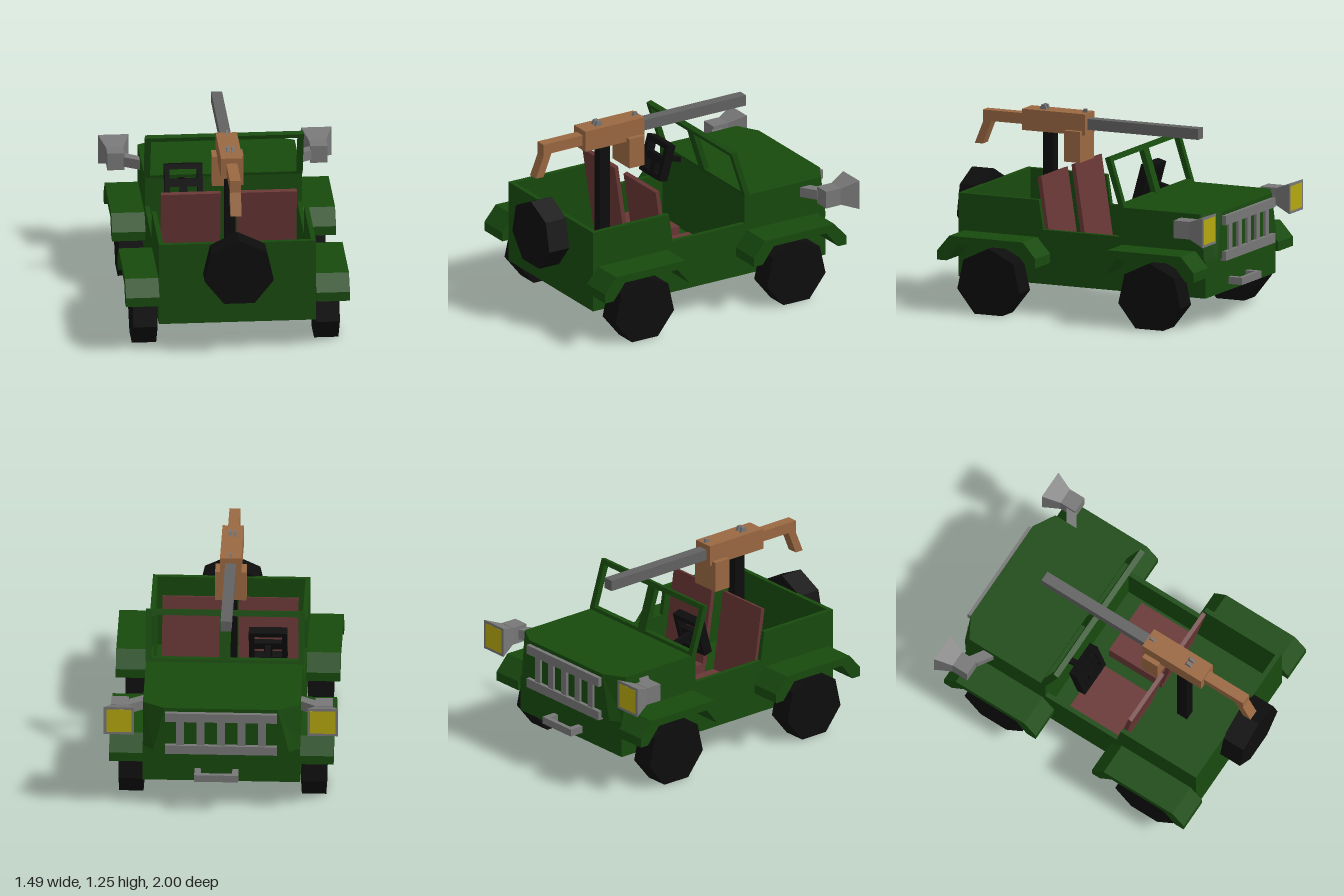
import * as THREE from 'three';

const mat = (color) => new THREE.MeshStandardMaterial({ color, flatShading: true });

export function createModel() {
  const model = new THREE.Group();
  const green = mat(0x184a0e), black = mat(0x0d0d0d), red = mat(0x683735);
  const grey = mat(0x777777), steel = mat(0x626262), tan = mat(0x9a6842), yellow = mat(0xb5a80f);

  const add = (name, geo, material, parent = model) => {
    const mesh = new THREE.Mesh(geo, material);
    mesh.name = name;
    parent.add(mesh);
    return mesh;
  };
  // Box given by its limits on each axis
  const box = (name, material, [x0, x1], [y0, y1], [z0, z1], parent) => {
    const geo = new THREE.BoxGeometry(x1 - x0, y1 - y0, z1 - z0);
    geo.translate((x0 + x1) / 2, (y0 + y1) / 2, (z0 + z1) / 2);
    return add(name, geo, material, parent);
  };
  // Side outline of [z, y] points, extruded from x0 to x1
  const side = (name, material, points, x0, x1, parent) => {
    const shape = new THREE.Shape(points.map(([z, y]) => new THREE.Vector2(z, y)));
    const geo = new THREE.ExtrudeGeometry(shape, { depth: x1 - x0, bevelEnabled: false });
    geo.rotateY(-Math.PI / 2).translate(x1, 0, 0);
    return add(name, geo, material, parent);
  };

  // Open body tub
  const sideOutline = [[0.85, 0.2], [0.85, 0.74], [0.28, 0.74], [0.25, 0.55], [-0.29, 0.55], [-0.29, 0.2]];
  side('sidePanelLeft', green, sideOutline, 0.47, 0.5);
  side('sidePanelRight', green, sideOutline, -0.5, -0.47);
  box('floor', green, [-0.47, 0.47], [0.2, 0.25], [-0.29, 0.82]);
  box('tailPanel', green, [-0.47, 0.47], [0.2, 0.74], [0.82, 0.85]);
  box('frontChassis', green, [-0.5, 0.5], [0.2, 0.44], [-0.9, -0.29]);

  // Hood: plan outline with cut corners that grow toward the top
  const plan = [[-0.5, 0.29], [0.5, 0.29], [0.5, 0.89], [0.43, 0.945], [-0.43, 0.945], [-0.5, 0.89]];
  const hood = new THREE.ExtrudeGeometry(
    new THREE.Shape(plan.map(([x, d]) => new THREE.Vector2(x, d))), { depth: 0.3, bevelEnabled: false });
  hood.rotateX(-Math.PI / 2).translate(0, 0.44, 0);
  const pos = hood.attributes.position;
  for (let i = 0; i < pos.count; i++) {
    if (pos.getY(i) < 0.7) continue;
    if (pos.getZ(i) < -0.92) pos.setX(i, Math.sign(pos.getX(i)) * 0.36);
    else if (pos.getZ(i) < -0.8) pos.setZ(i, -0.865);
  }
  hood.computeVertexNormals();
  add('hood', hood, green);

  // Fenders over the four wheels
  const arch = [[-0.345, 0.34], [-0.345, 0.4], [-0.255, 0.5], [0.265, 0.5], [0.35, 0.4], [0.35, 0.34],
    [0.285, 0.34], [0.2, 0.45], [-0.195, 0.45], [-0.285, 0.34]];
  for (const z of [0.545, -0.575]) {
    const outline = arch.map(([dz, y]) => [z + dz, y]);
    side('fenderLeft', green, outline, 0.5, 0.713);
    side('fenderRight', green, outline, -0.713, -0.5);
  }

  // Seven-sided wheels with a flat at the bottom, and the spare
  const wheelGeo = new THREE.CylinderGeometry(0.225, 0.225, 0.155, 7);
  wheelGeo.rotateY(Math.PI).rotateX(Math.PI / 2);
  const wheel = (name, x, y, z, turn) => {
    const w = add(name, wheelGeo, black);
    w.position.set(x, y, z);
    w.rotation.y = turn;
    // Vertex points up whichever way the cylinder began
    w.geometry.computeBoundingBox();
    if (-w.geometry.boundingBox.min.y > w.geometry.boundingBox.max.y) w.geometry.rotateZ(Math.PI);
  };
  for (const x of [-0.58, 0.58]) {
    wheel('rearWheel', x, 0.203, 0.56, Math.PI / 2);
    wheel('frontWheel', x, 0.203, -0.58, Math.PI / 2);
  }
  wheel('spareWheel', 0, 0.588, 0.922, 0);

  // Leaning windshield frame
  const post = [[-0.29, 0.74], [-0.325, 0.74], [-0.225, 1.06], [-0.19, 1.05]];
  for (const [x0, x1] of [[-0.505, -0.467], [-0.035, 0.035], [0.467, 0.505]])
    side('windshieldPost', green, post, x0, x1);
  side('windshieldTopBar', green, [[-0.199, 1.022], [-0.236, 1.03], [-0.225, 1.06], [-0.19, 1.05]], -0.467, 0.467);
  side('windshieldBottomBar', green, [[-0.284, 0.76], [-0.319, 0.76], [-0.325, 0.74], [-0.29, 0.74]], -0.467, 0.467);

  // Seats with thin leaning backs
  for (const [x0, x1] of [[-0.445, -0.065], [0.04, 0.42]]) {
    box('seatCushion', red, [x0, x1], [0.25, 0.36], [-0.16, 0.24]);
    side('seatBack', red, [[0.22, 0.34], [0.25, 0.34], [0.328, 0.87], [0.302, 0.878]], x0, x1);
  }

  // Steering wheel and column
  const steering = new THREE.Group();
  steering.name = 'steeringWheel';
  steering.position.set(-0.268, 0.772, -0.122);
  steering.rotation.x = -0.27;
  model.add(steering);
  for (const s of [-1, 1]) {
    const rim = [s * 0.105 - 0.017, s * 0.105 + 0.017];
    box('rimSide', black, rim, [-0.12, 0.12], [-0.03, 0.03], steering);
    box('rimBar', black, [-0.09, 0.09], rim, [-0.03, 0.03], steering);
  }
  box('spokeAcross', black, [-0.09, 0.09], [-0.025, 0.025], [-0.02, 0.02], steering);
  box('spokeDown', black, [-0.025, 0.025], [-0.09, -0.025], [-0.02, 0.02], steering);
  side('steeringColumn', black, [[-0.12, 0.75], [-0.12, 0.785], [-0.31, 0.737], [-0.31, 0.705]], -0.285, -0.25);

  // Headlights: rear box, flared housing, lens and bracket
  for (const s of [-1, 1]) {
    const lamp = new THREE.Group();
    lamp.name = s > 0 ? 'headlightLeft' : 'headlightRight';
    lamp.position.set(s * 0.647, 0.672, s > 0 ? 0 : 0.025);
    model.add(lamp);
    box('lampBox', grey, [-0.055, 0.055], [-0.057, 0.057], [-0.885, -0.775], lamp);
    const flare = new THREE.CylinderGeometry(0.055 * Math.SQRT2, 0.097 * Math.SQRT2, 0.115, 4, 1);
    flare.rotateY(Math.PI / 4).rotateX(Math.PI / 2).translate(0, 0, -0.9425);
    add('lampFlare', flare, grey, lamp);
    box('lens', yellow, [-0.08, 0.08], [-0.08, 0.08], [-1.001, -0.99], lamp);
    const arm = new THREE.ExtrudeGeometry(
      new THREE.Shape([[0.49, 0.70], [0.6, 0.77], [0.6, 0.845], [0.49, 0.775]].map(([x, d]) => new THREE.Vector2(s * x, d))),
      { depth: 0.065, bevelEnabled: false });
    arm.rotateX(-Math.PI / 2).translate(0, 0.64, lamp.position.z);
    add('lampBracket', arm, grey);
  }

  // Grille and small front bumper handle
  for (const y of [0.425, 0.655]) box('grilleBar', grey, [-0.355, 0.355], [y, y + 0.06], [-0.972, -0.935]);
  for (let i = -2; i <= 2; i++)
    box('grilleSlat', grey, [i * 0.13 - 0.025, i * 0.13 + 0.025], [0.48, 0.66], [-0.962, -0.935]);
  box('bumperBar', grey, [-0.11, 0.17], [0.24, 0.287], [-0.995, -0.965]);
  for (const x of [-0.11, 0.13]) box('bumperPost', grey, [x, x + 0.04], [0.24, 0.287], [-0.966, -0.89]);

  // Mounted gun on its post
  const gun = new THREE.Group();
  gun.name = 'mountedGun';
  gun.position.x = -0.018;
  model.add(gun);
  box('mountPost', black, [-0.033, 0.033], [0.25, 1.1], [0.415, 0.49], gun);
  box('receiver', tan, [-0.068, 0.068], [1.088, 1.225], [0.175, 0.62], gun);
  box('magazine', tan, [-0.1, 0.1], [0.915, 1.115], [0.195, 0.31], gun);
  box('barrel', steel, [-0.035, 0.035], [1.12, 1.19], [-0.61, 0.175], gun);
  side('stock', tan, [[0.62, 1.12], [0.855, 1.12], [0.915, 0.97], [0.972, 0.97], [0.915, 1.11], [0.915, 1.19], [0.62, 1.19]],
    -0.035, 0.035, gun);
  for (const x of [-0.026, 0.008])
    side('rearSight', grey, [[0.465, 1.22], [0.48, 1.255], [0.505, 1.255], [0.52, 1.22]], x, x + 0.018, gun);
  side('frontSight', grey, [[0.185, 1.22], [0.195, 1.248], [0.215, 1.248], [0.228, 1.22]], -0.008, 0.008, gun);

  return model;
}
